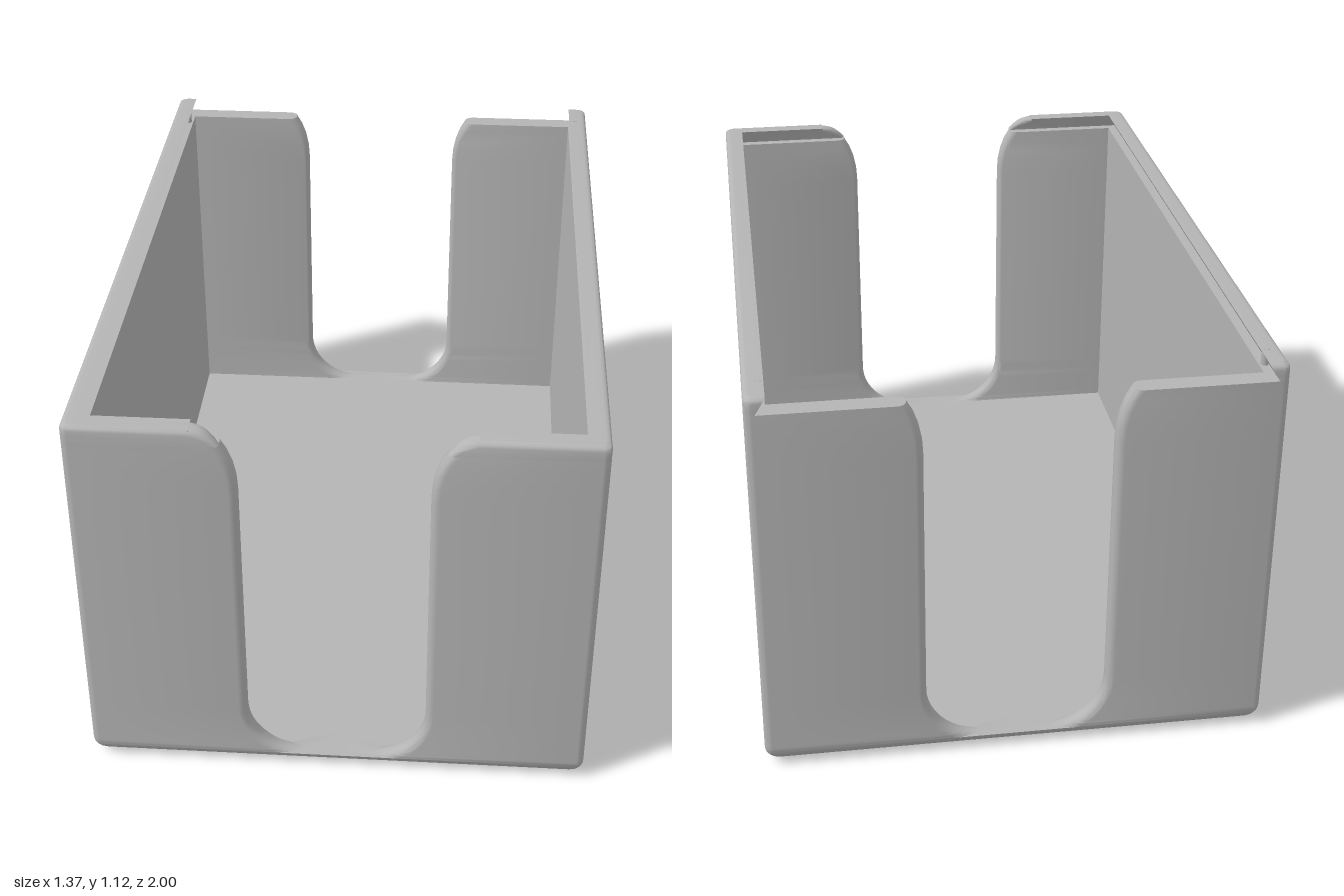
import * as THREE from 'three';
import { toCreasedNormals } from 'three/addons/utils/BufferGeometryUtils.js';

const X = 0.685, Z = 1, H = 1.12;          // half width, half depth, height
const LEDGE = 1.075, FLOOR = 0.04;         // lid ledge and floor level
const WALL = 0.055, FOOT_R = 0.06, TOP_R = 0.015, CORNER_R = 0.02;

// Half width of the finger cutout at height y, widened by e for its rounded edge
function cutX(y, e) {
  if (y < 0.2) {
    const v = (0.2 - y) / (0.16 + e);
    return 0.09 + (0.155 + e) * Math.sqrt(Math.max(0, 1 - v * v));
  }
  if (y < 0.93) return 0.245 + e;
  const u = Math.min(1, (y - 0.93) / (0.19 - e));
  return 0.36 - (0.115 - e) * Math.sqrt(1 - u * u);
}

// How far the outer skin is drawn in by the foot and top rounding
function inset(y) {
  const low = Math.max(0, FOOT_R - y), high = Math.max(0, y - (H - TOP_R));
  return FOOT_R - Math.sqrt(FOOT_R ** 2 - low ** 2) + TOP_R - Math.sqrt(Math.max(0, TOP_R ** 2 - high ** 2));
}

// Rounded wall end at the cutout, listed from the outer face to the inner face
function wallEnd(y, outer, inner, solid) {
  const r = Math.min(0.022, (outer - inner) * 0.4), pts = [];
  for (let side = 0; side < 2; side++) {
    for (let k = 0; k <= 5; k++) {
      const a = (side ? k : 5 - k) / 5 * Math.PI / 2;
      const e = r * (1 - Math.cos(a)), depth = r * (1 - Math.sin(a));
      pts.push([solid ? 0 : cutX(y, e), side ? inner + depth : outer - depth]);
    }
  }
  return pts;
}

// Horizontal section of the +x half; the rim has no back wall
function section({ y, t, solid }, rim) {
  const d = inset(y), ox = X - d, oz = Z - d, ix = X - t, iz = Z - t;
  const front = wallEnd(y, oz, iz, solid);
  const pts = [front[0]];
  for (const s of [1, -1]) {
    for (let k = 0; k <= 5; k++) {
      const a = (s > 0 ? 5 - k : k) / 5 * Math.PI / 2;
      pts.push([ox - CORNER_R + CORNER_R * Math.cos(a), s * (oz - CORNER_R + CORNER_R * Math.sin(a))]);
    }
  }
  if (rim) pts.push([ix, -oz]);
  else pts.push(...wallEnd(y, oz, iz, solid).map(([x, z]) => [x, -z]), [ix, -iz]);
  pts.push([ix, iz], ...front.slice(1).reverse());
  return pts;
}

// Stack the sections into a closed solid, on the left (+1) or right (-1)
function loft(rows, rim, side) {
  const loops = rows.map(row => section(row, rim));
  const n = loops[0].length, pos = [], idx = [];
  loops.forEach((loop, j) => loop.forEach(([x, z]) => pos.push(x * side, rows[j].y, z)));
  const tri = (a, b, c) => (side > 0 ? idx.push(a, b, c) : idx.push(a, c, b));
  for (let j = 0; j < rows.length - 1; j++) {
    for (let i = 0; i < n; i++) {
      const a = j * n + i, b = j * n + (i + 1) % n;
      tri(a, b, b + n);
      tri(a, b + n, a + n);
    }
  }
  const cap = j => THREE.ShapeUtils.triangulateShape(loops[j].map(([x, z]) => new THREE.Vector2(x, -z)), []);
  const top = (rows.length - 1) * n;
  cap(0).forEach(([a, b, c]) => tri(a, c, b));
  cap(rows.length - 1).forEach(([a, b, c]) => tri(top + a, top + b, top + c));
  const geo = new THREE.BufferGeometry();
  geo.setAttribute('position', new THREE.Float32BufferAttribute(pos, 3));
  geo.setIndex(idx);
  return toCreasedNormals(geo, 0.6);
}

export function createModel() {
  const group = new THREE.Group();
  const grey = new THREE.MeshStandardMaterial({ color: 0xb4b4b4 });
  grey.name = 'grey plastic';
  const add = (name, geo, x = 0, y = 0, z = 0) => {
    const mesh = new THREE.Mesh(geo, grey);
    mesh.name = name;
    mesh.position.set(x, y, z);
    group.add(mesh);
  };

  // Heights of the body sections: solid foot, then cutout curve, then straight wall
  const foot = [], wall = [0.93, 0.97, 1.01, 1.045, LEDGE];
  for (let k = 0; k <= 8; k++) {
    const y = FOOT_R * (1 - Math.cos(k / 8 * Math.PI / 2));
    if (y < FLOOR) foot.push(y);
    else wall.push(y);
  }
  for (let k = 0; k <= 14; k++) wall.push(FLOOR + 0.16 * (1 - Math.cos(k / 14 * Math.PI / 2)));
  foot.push(FLOOR);
  wall.sort((a, b) => a - b);
  const bodyRows = [
    ...foot.map(y => ({ y, t: 0.1, solid: true })),
    ...wall.map(y => ({ y, t: WALL, solid: false })),
  ];

  // Rim sections: the inner face leans inward to form the lid groove
  const rimY = [LEDGE, 1.09, H - TOP_R];
  for (let k = 1; k <= 5; k++) rimY.push(H - TOP_R + TOP_R * Math.sin(k / 5 * Math.PI / 2));
  const rimRows = rimY.map(y => ({ y, t: 0.028 + (WALL - 0.028) * (y - LEDGE) / (H - LEDGE), solid: false }));

  for (const side of [1, -1]) {
    const label = side > 0 ? 'left' : 'right';
    add(label + 'Wall', loft(bodyRows, false, side));
    add(label + 'LidRail', loft(rimRows, true, side));
    // Small lid catch near the open end of the groove
    add(label + 'LidCatch', new THREE.CylinderGeometry(0.01, 0.01, H - LEDGE, 16), side * 0.645, (H + LEDGE) / 2 + 0.0005, -0.9);
  }
  add('floor', new THREE.BoxGeometry(2 * (X - 0.095), FLOOR, 2 * (Z - 0.095)), 0, FLOOR / 2, 0);
  return group;
}
